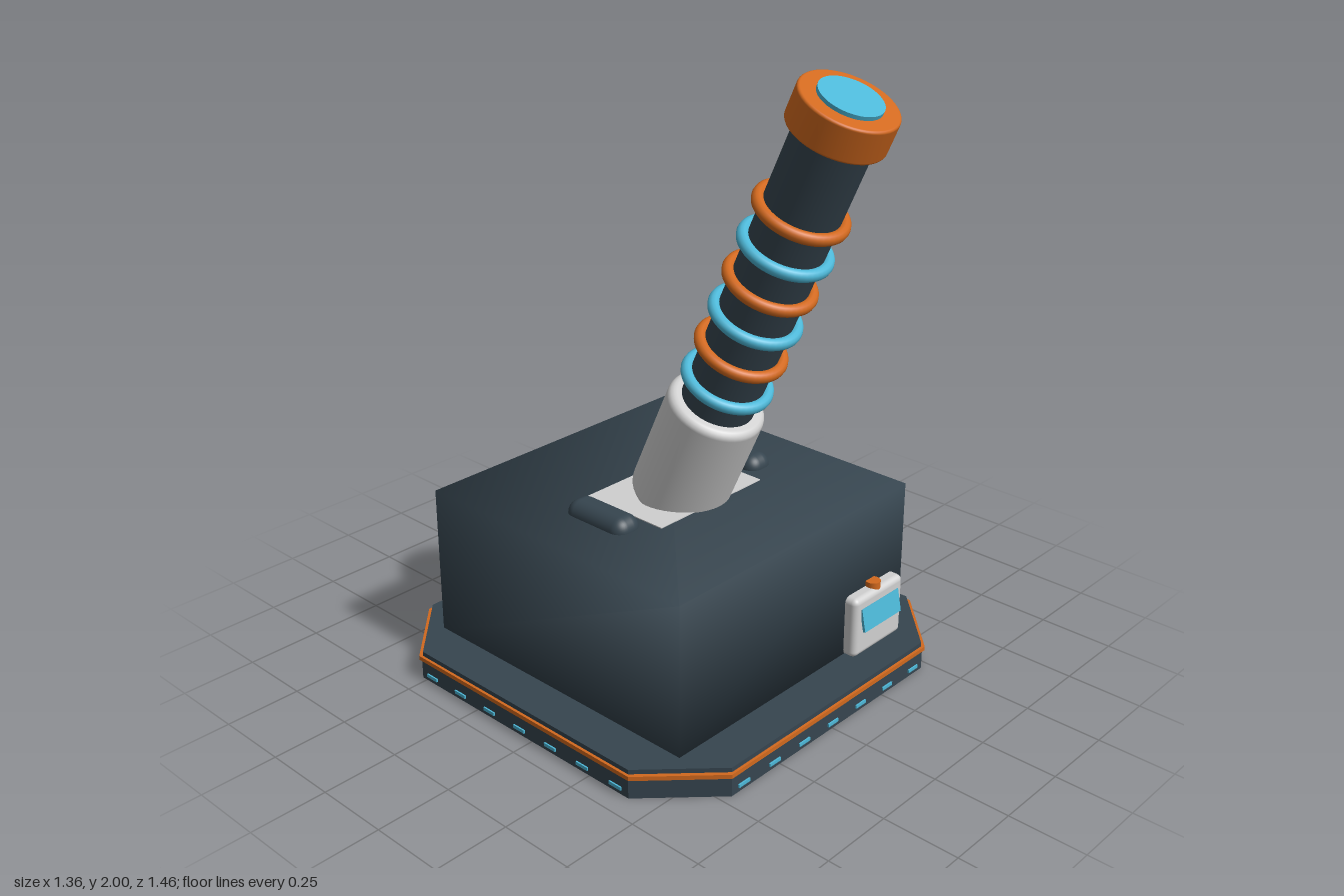
import * as THREE from 'three';
import { mergeVertices } from 'three/addons/utils/BufferGeometryUtils.js';
import { RoundedBoxGeometry } from 'three/addons/geometries/RoundedBoxGeometry.js';

const mat = (name, color) => {
  const m = new THREE.MeshStandardMaterial({ color });
  m.name = name;
  return m;
};

export function createModel() {
  const slate = mat('slate', 0x36454f);
  const orange = mat('orange', 0xd2691e);
  const cyan = mat('cyan', 0x4db8d8);
  const grey = mat('light grey', 0xd0d0d0);

  const model = new THREE.Group();
  model.name = 'leverConsole';
  const add = (parent, name, geometry, material, x = 0, y = 0, z = 0) => {
    const mesh = new THREE.Mesh(geometry, material);
    mesh.name = name;
    mesh.position.set(x, y, z);
    parent.add(mesh);
    return mesh;
  };
  const zc = -0.055; // centre of the base and housing

  // Octagonal slab: square of half width h with cut corners
  const octagon = (h, height) => {
    const c = h - 0.21;
    const pts = [[h, -c], [h, c], [c, h], [-c, h], [-h, c], [-h, -c], [-c, -h], [c, -h]];
    const shape = new THREE.Shape(pts.map(([x, y]) => new THREE.Vector2(x, y)));
    return new THREE.ExtrudeGeometry(shape, { depth: height, bevelEnabled: false }).rotateX(-Math.PI / 2);
  };
  add(model, 'basePlate', octagon(0.675, 0.066), slate, 0, 0, zc);
  add(model, 'baseTrim', octagon(0.681, 0.014), orange, 0, 0.066, zc);
  add(model, 'baseTop', octagon(0.672, 0.015), slate, 0, 0.08, zc);

  // Light dashes along the four long sides of the base
  const dash = new THREE.BoxGeometry(0.048, 0.011, 0.008);
  for (let side = 0; side < 4; side++) {
    const strip = new THREE.Group();
    strip.name = 'baseLights';
    strip.position.z = zc;
    strip.rotation.y = side * Math.PI / 2;
    for (let i = -3; i <= 3; i++) add(strip, 'baseLight', dash, cyan, i * 0.138, 0.021, 0.676);
    model.add(strip);
  }

  // Housing with shared corner normals for soft shading
  let box = new THREE.BoxGeometry(1.06, 0.505, 1.06);
  box.deleteAttribute('uv');
  box.deleteAttribute('normal');
  box = mergeVertices(box);
  box.computeVertexNormals();
  add(model, 'housing', box, slate, 0, 0.3425, zc);
  add(model, 'socketPlate', new THREE.BoxGeometry(0.46, 0.006, 0.32), grey, 0, 0.595, -0.04);

  // Rounded pads beside the lever
  for (const s of [-1, 1]) {
    add(model, 'pad', new RoundedBoxGeometry(0.105, 0.09, 0.25, 5, 0.042), slate, s * 0.305, 0.592, zc);
  }

  // Control box on the front
  add(model, 'controlBox', new RoundedBoxGeometry(0.25, 0.21, 0.07, 4, 0.02), grey, 0.36, 0.195, 0.483);
  const screen = add(model, 'screen', new THREE.BoxGeometry(0.19, 0.078, 0.009), cyan, 0.36, 0.222, 0.524);
  screen.rotation.x = -0.2;
  add(model, 'button', new THREE.CylinderGeometry(0.025, 0.025, 0.03, 24), orange, 0.36, 0.303, 0.488);

  // Lever, leaning forward about its pivot
  const lever = new THREE.Group();
  lever.name = 'lever';
  lever.position.set(0, 0.578, -0.03);
  lever.rotation.x = 0.43;
  model.add(lever);

  // Solid round part with softened rims
  const roundBar = (r, y0, y1, e) => {
    const pts = [new THREE.Vector2(0, y0), new THREE.Vector2(r - e, y0)];
    for (let i = 0; i <= 4; i++) {
      const a = -Math.PI / 2 + i * Math.PI / 8;
      pts.push(new THREE.Vector2(r - e + e * Math.cos(a), y0 + e + e * Math.sin(a)));
    }
    for (let i = 0; i <= 4; i++) {
      const a = i * Math.PI / 8;
      pts.push(new THREE.Vector2(r - e + e * Math.cos(a), y1 - e + e * Math.sin(a)));
    }
    pts.push(new THREE.Vector2(r - e, y1), new THREE.Vector2(0, y1));
    const clean = pts.filter((p, i) => i === 0 || p.distanceTo(pts[i - 1]) > 1e-6);
    return new THREE.LatheGeometry(clean, 48);
  };
  add(lever, 'pivotBall', new THREE.SphereGeometry(0.12, 32, 20), slate);
  add(lever, 'sleeve', roundBar(0.155, 0, 0.41, 0.025), grey);
  add(lever, 'shaft', new THREE.CylinderGeometry(0.116, 0.116, 1.3, 48), slate, 0, 0.78, 0);

  // Rings alternate in colour up the shaft
  const ring = new THREE.TorusGeometry(0.128, 0.019, 12, 48).rotateX(Math.PI / 2);
  for (let i = 0; i < 6; i++) add(lever, 'ring', ring, i % 2 ? orange : cyan, 0, 0.497 + i * 0.127, 0);

  // End cap and its button
  add(lever, 'cap', roundBar(0.148, 1.393, 1.5, 0.008), orange);
  add(lever, 'capButton', new THREE.CylinderGeometry(0.096, 0.096, 0.02, 48), cyan, 0, 1.502, 0);

  return model;
}
